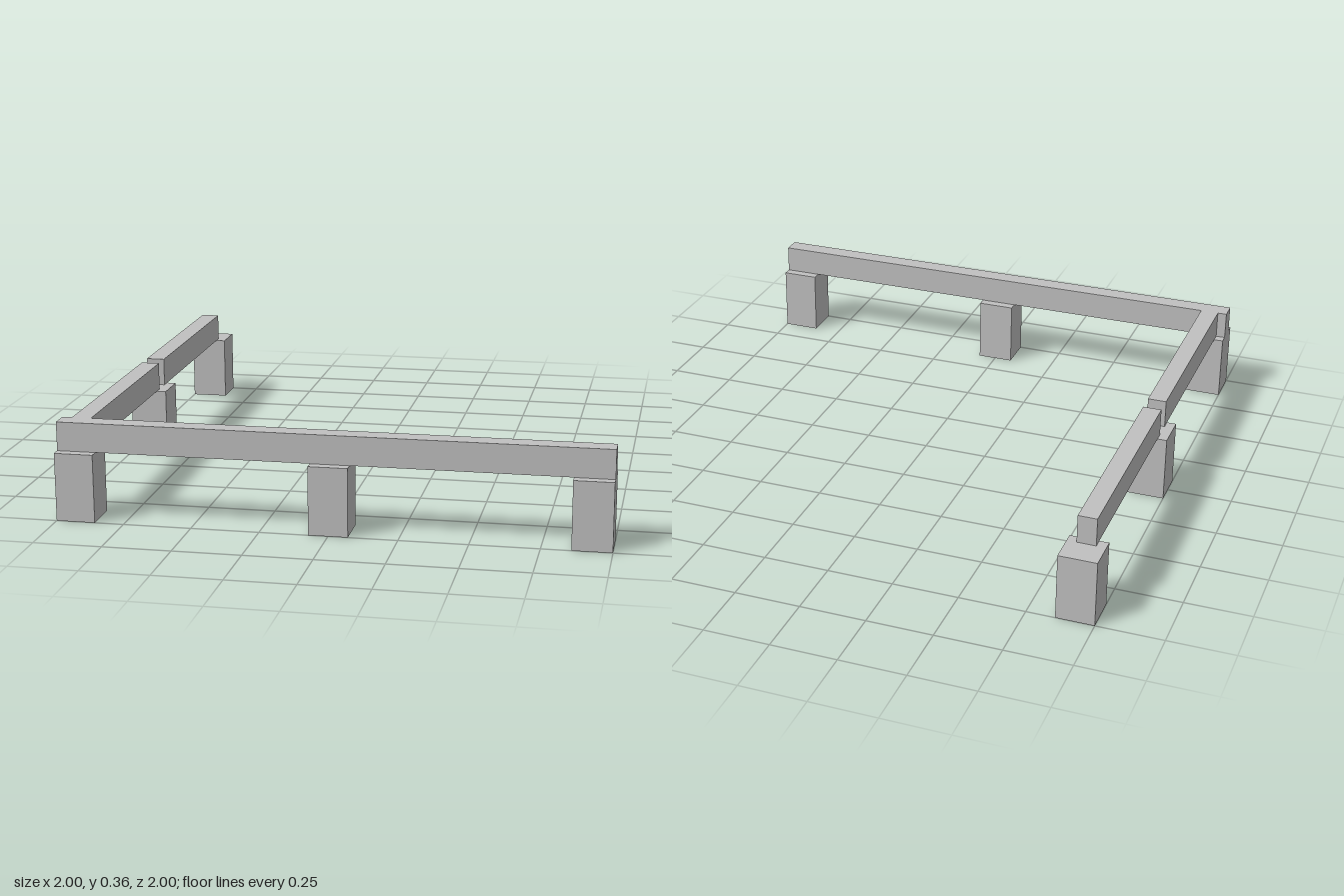
import * as THREE from 'three';

export function createModel() {
  const model = new THREE.Group();
  const grey = new THREE.MeshStandardMaterial({ color: 0xc0c0c0 });
  grey.name = 'concreteGrey';

  // Box given by its minimum and maximum on each axis
  function block(name, [x0, x1], [y0, y1], [z0, z1]) {
    const mesh = new THREE.Mesh(new THREE.BoxGeometry(x1 - x0, y1 - y0, z1 - z0), grey);
    mesh.name = name;
    mesh.position.set((x0 + x1) / 2, (y0 + y1) / 2, (z0 + z1) / 2);
    model.add(mesh);
  }

  const postTop = 0.253, beamTop = 0.36, half = 0.0715, edge = 1 - half;
  const beamY = [postTop, beamTop];

  // Square posts along the front and the right side
  const posts = [[-edge, edge], [0, edge], [edge, edge], [-edge, 0], [-edge, -edge]];
  for (const [x, z] of posts) {
    block('post', [x - half, x + half], [0, postTop], [z - half, z + half]);
  }

  // One long front beam, then two side beams with a gap over the middle post
  block('frontBeam', [-1, 1], beamY, [0.893, 0.964]);
  block('sideBeamFront', [-0.964, -0.893], beamY, [0.035, 0.893]);
  block('sideBeamBack', [-0.964, -0.893], beamY, [-0.893, -0.035]);

  return model;
}
